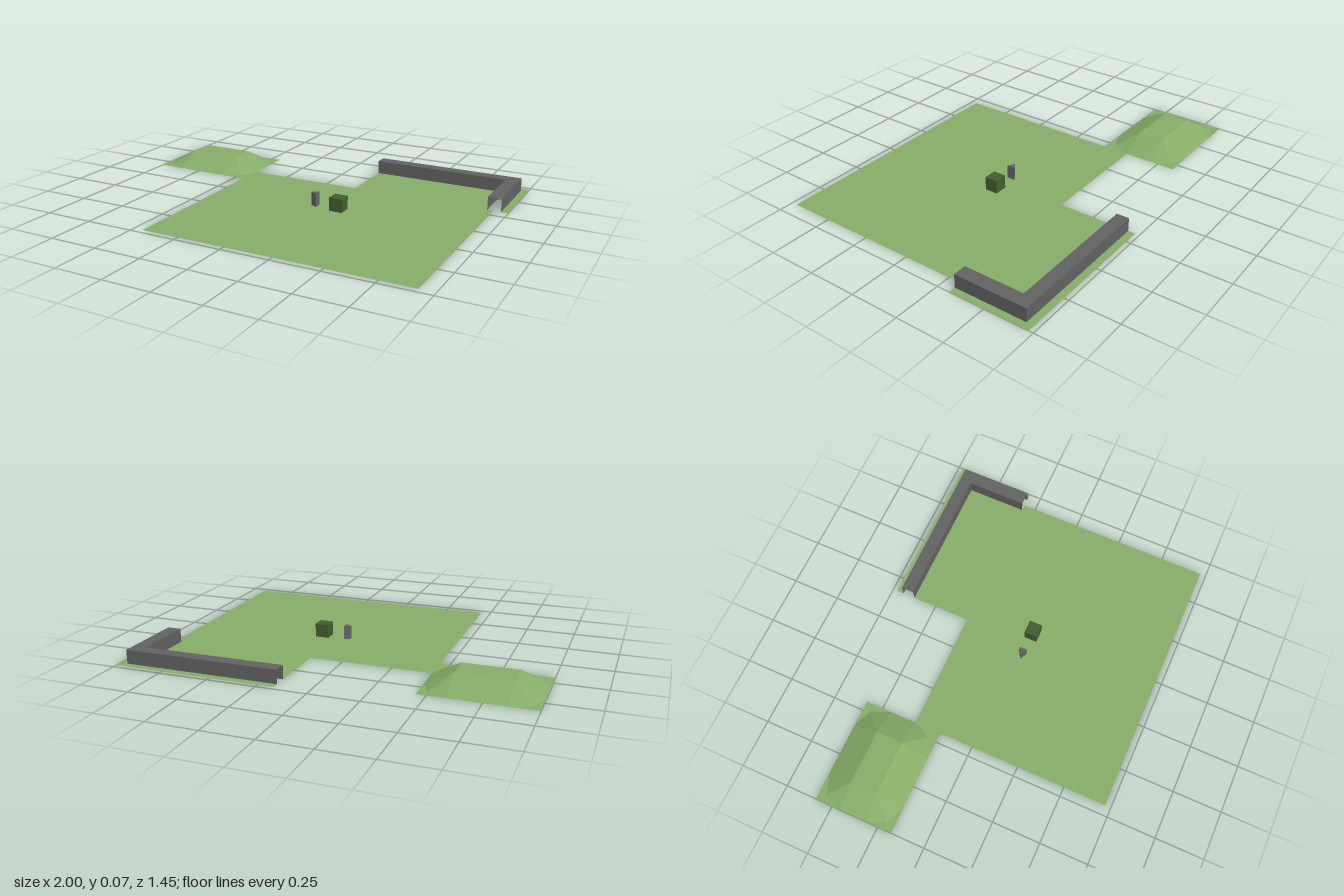
import * as THREE from 'three';

const H = 0.07; // height of everything that rises from the lawn

const material = (name, color) =>
  new THREE.MeshStandardMaterial({ name, color, side: THREE.DoubleSide, flatShading: true });

// Flat plate at height y from [x, z] corners
function plate(corners, y = 0) {
  const shape = new THREE.Shape(corners.map(([x, z]) => new THREE.Vector2(x, -z)));
  return new THREE.ShapeGeometry(shape).rotateX(-Math.PI / 2).translate(0, y, 0);
}

// Surface from a list of triangles
function surface(triangles) {
  const g = new THREE.BufferGeometry();
  g.setAttribute('position', new THREE.Float32BufferAttribute(triangles.flat(2), 3));
  g.computeVertexNormals();
  return g;
}

// Upright faces along a path of [x, z] points
function curtain(path) {
  const tris = [];
  for (let i = 0; i + 1 < path.length; i++) {
    const [ax, az] = path[i], [bx, bz] = path[i + 1];
    const a = [ax, 0, az], b = [bx, 0, bz], c = [bx, H, bz], d = [ax, H, az];
    tris.push([a, b, c], [a, c, d]);
  }
  return surface(tris);
}

// Mound slopes with rounded corners, and the flat lawn filling its corners
function moundParts(x0, x1, z0, z1, r) {
  const outer = [], inner = [], corners = [];
  const quadrants = [[1, -1], [-1, -1], [-1, 1], [1, 1]];
  quadrants.forEach(([sx, sz], q) => {
    const cx = sx > 0 ? x1 - r : x0 + r, cz = sz > 0 ? z1 - r : z0 + r;
    const arc = [0, 1, 2].map((k) => {
      const a = (q + k / 2) * Math.PI / 2;
      return [cx + r * Math.cos(a), 0, cz - r * Math.sin(a)];
    });
    const tip = [cx + sx * r, 0, cz + sz * r];
    arc.forEach((p) => { outer.push(p); inner.push([cx, H, cz]); });
    corners.push([tip, arc[1], arc[0]], [tip, arc[2], arc[1]]);
  });
  const slopes = [];
  outer.forEach((o, i) => {
    const j = (i + 1) % outer.length;
    slopes.push([o, outer[j], inner[j]]);
    if (i % 3 === 2) slopes.push([o, inner[j], inner[i]]);
  });
  const top = plate([[x0 + r, z1 - r], [x1 - r, z1 - r], [x1 - r, z0 + r], [x0 + r, z0 + r]], H);
  return { slopes: surface(slopes), corners: surface(corners), top };
}

export function createModel() {
  const model = new THREE.Group();
  model.name = 'lawnCourse';
  const grass = material('grass green', 0x86ad68);
  const stone = material('stone grey', 0x626262);
  const hedge = material('dark green', 0x445c32);
  const add = (name, geometry, mat, parent = model) => {
    const mesh = new THREE.Mesh(geometry, mat);
    mesh.name = name;
    parent.add(mesh);
    return mesh;
  };

  // Lawn: main field, the area inside the wall and the strip outside it
  add('mainLawn', plate([[-0.45, 0.72], [0.925, 0.72], [0.925, -0.315], [-0.45, -0.315]]), grass);
  add('innerLawn', plate([[0.17, -0.315], [0.893, -0.315], [0.893, -0.625], [0.17, -0.625]]), grass);
  add('outerLawnStrip', plate([[0.17, -0.69], [0.963, -0.69], [0.963, -0.315],
    [1, -0.315], [1, -0.727], [0.17, -0.727]]), grass);

  // L-shaped wall, hollow with open ends and underside
  const wall = new THREE.Group();
  wall.name = 'cornerWall';
  model.add(wall);
  const outside = [[0.963, -0.315], [0.963, -0.69], [0.17, -0.69]];
  const inside = [[0.17, -0.625], [0.893, -0.625], [0.893, -0.315]];
  add('wallOuterFaces', curtain(outside), stone, wall);
  add('wallInnerFaces', curtain(inside), stone, wall);
  add('wallTop', plate([...outside, ...inside], H), stone, wall);

  // Grassy mound
  const mound = new THREE.Group();
  mound.name = 'mound';
  model.add(mound);
  const parts = moundParts(-1, -0.45, -0.59, -0.177, 0.1375);
  add('moundSlopes', parts.slopes, grass, mound);
  add('moundTop', parts.top, grass, mound);
  add('moundLawnCorners', parts.corners, grass, mound);

  // Small cube and three-sided post
  add('hedgeBlock', new THREE.BoxGeometry(0.07, H, 0.068), hedge).position.set(0.238, H / 2, 0.035);
  const post = new THREE.ExtrudeGeometry(new THREE.Shape([
    new THREE.Vector2(0.083, -0.03), new THREE.Vector2(0.118, -0.051), new THREE.Vector2(0.118, -0.009),
  ]), { depth: H, bevelEnabled: false }).rotateX(-Math.PI / 2);
  add('triangularPost', post, stone);

  return model;
}
